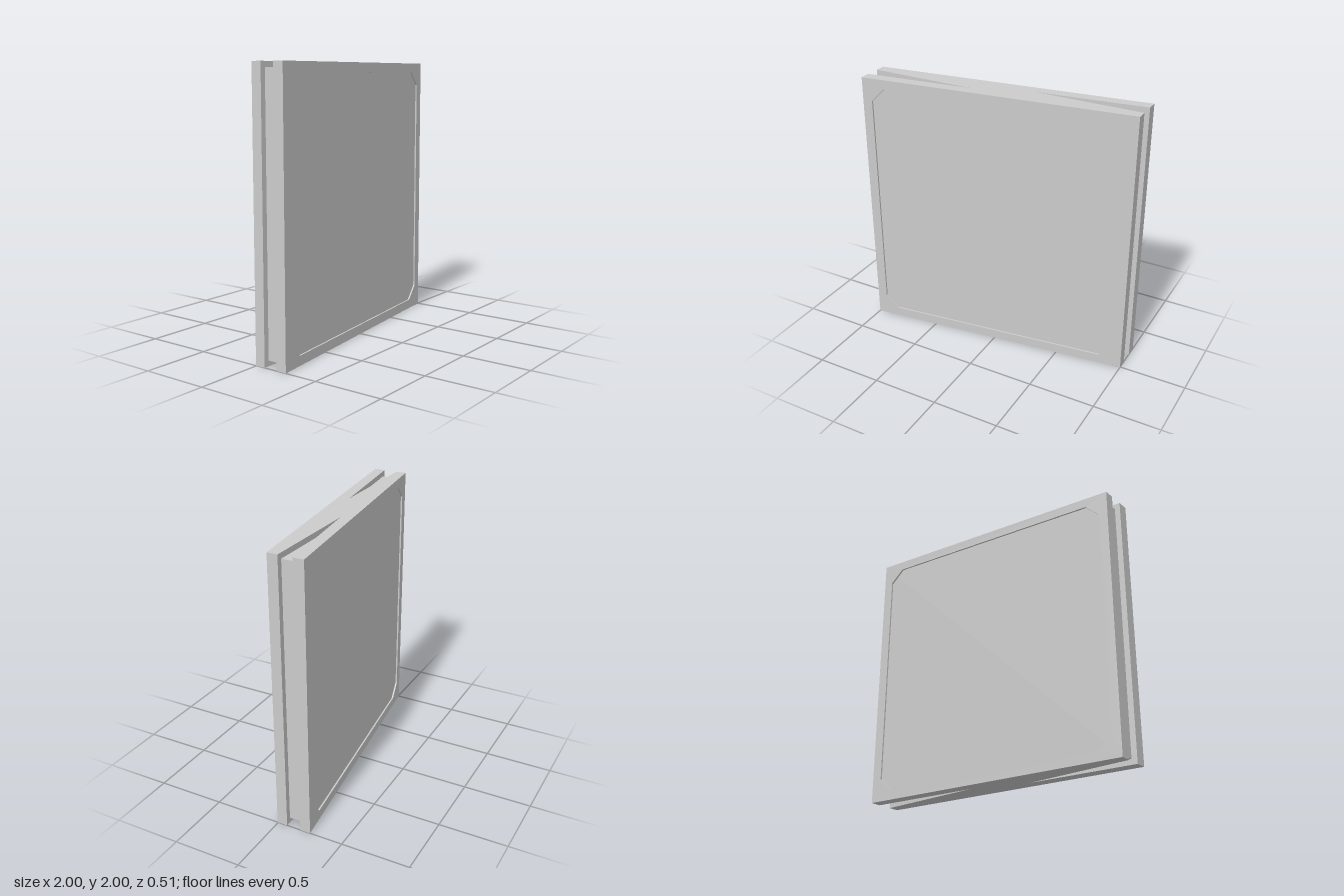
import * as THREE from 'three';

const SLOPE = -0.125; // z change per unit of x on the slanted faces
const HALF = 0.13; // half thickness measured along z
const RECESS = 0.012; // depth of the sunken face panels
const SLOT = { tipX: 0.2, frontZ: -0.072, backZ: -0.175 };

const material = new THREE.MeshStandardMaterial({ color: 0xcccccc, flatShading: true });

// Extrudes an (x, z) outline upwards from y0 to y1
function prism(points, y0, y1) {
  const shape = new THREE.Shape(points.map(([x, z]) => new THREE.Vector2(x, -z)));
  const geometry = new THREE.ExtrudeGeometry(shape, { depth: y1 - y0, bevelEnabled: false });
  return geometry.rotateX(-Math.PI / 2).translate(0, y0, 0);
}

// Square frame with a chamfered opening, sheared to follow the slanted face
function frameGeometry() {
  const shape = new THREE.Shape();
  shape.moveTo(-1, 0).lineTo(1, 0).lineTo(1, 2).lineTo(-1, 2).closePath();
  const a = 0.93, c = 0.83;
  const opening = [[-c, -a], [-a, -c], [-a, c], [-c, a], [c, a], [a, c], [a, -c], [c, -a]];
  shape.holes.push(new THREE.Path(opening.map(([x, y]) => new THREE.Vector2(x, y + 1))));
  const geometry = new THREE.ExtrudeGeometry(shape, { depth: RECESS, bevelEnabled: false });
  const p = geometry.attributes.position;
  for (let i = 0; i < p.count; i++) {
    p.setZ(i, p.getZ(i) + HALF - RECESS + SLOPE * p.getX(i));
  }
  geometry.computeVertexNormals();
  return geometry;
}

export function createModel() {
  const group = new THREE.Group();
  const add = (name, geometry, turn = 0) => {
    const mesh = new THREE.Mesh(geometry, material);
    mesh.name = name;
    mesh.rotation.y = turn;
    group.add(mesh);
  };

  // Slanted slab with a wedge slot cut into each end
  const h = HALF - RECESS;
  const half = [
    [-1, h - SLOPE],
    [1, h + SLOPE],
    [1, SLOT.frontZ],
    [SLOT.tipX, SLOT.frontZ],
    [1, SLOT.backZ],
  ];
  const outline = [...half, ...half.map(([x, z]) => [-x, -z])];
  add('slab', prism(outline, 0, 2));

  // Wedge cores, set back from the top, bottom and end of each slot
  const coreX = 0.96;
  const t = (coreX - SLOT.tipX) / (1 - SLOT.tipX);
  const coreZ = THREE.MathUtils.lerp(SLOT.frontZ, SLOT.backZ, t);
  const core = prism([[SLOT.tipX, SLOT.frontZ], [coreX, SLOT.frontZ], [coreX, coreZ]], 0.04, 1.96);
  add('leftWedgeCore', core);
  add('rightWedgeCore', core, Math.PI);

  // Raised frames around the sunken panels on both faces
  const frame = frameGeometry();
  add('frontFrame', frame);
  add('backFrame', frame, Math.PI);
  return group;
}
